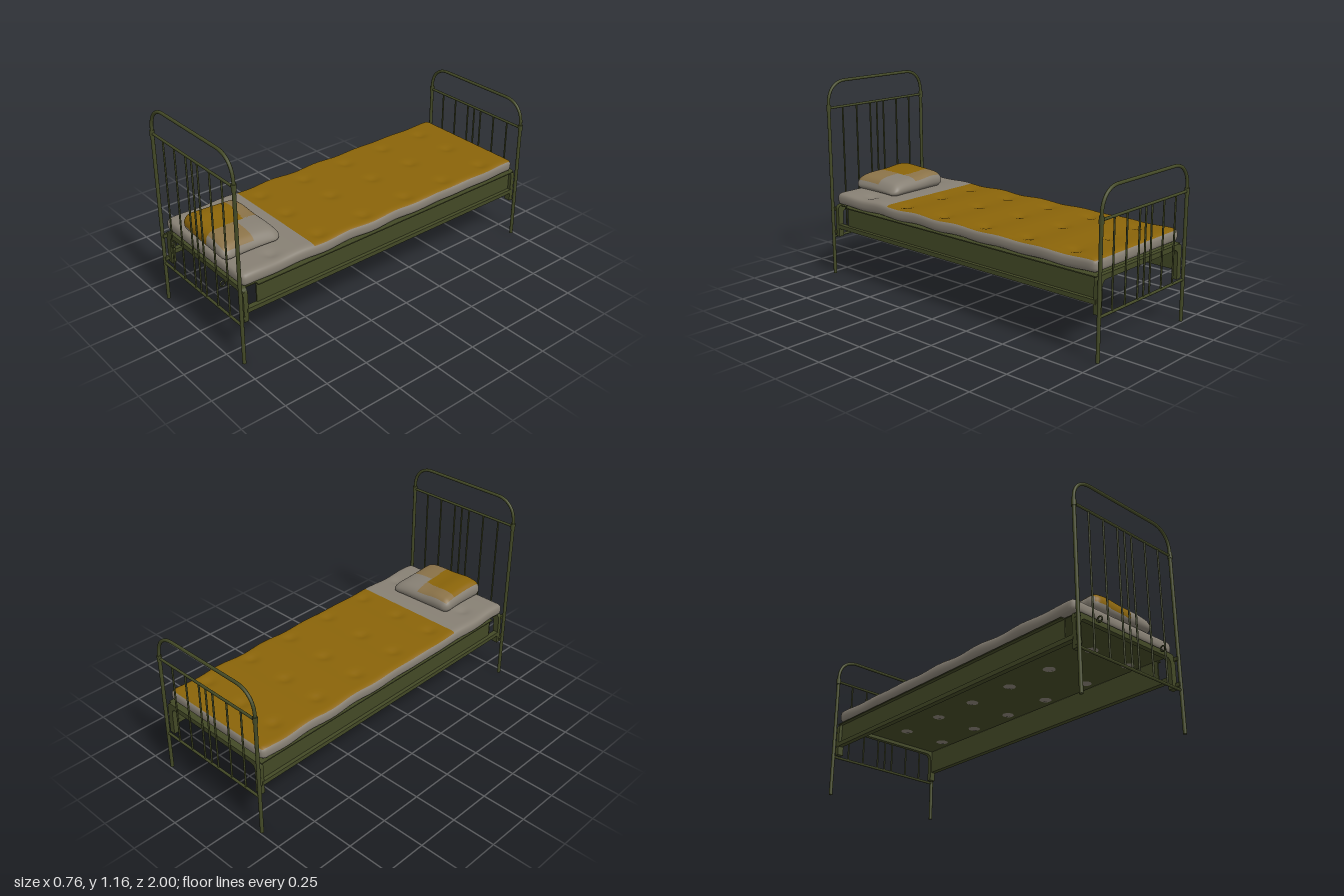
import * as THREE from 'three';
import { mergeVertices } from 'three/addons/utils/BufferGeometryUtils.js';

const material = (name, color) => new THREE.MeshStandardMaterial({ name, color });

export function createModel() {
  const green = material('olive green metal', 0x434926);
  const yellow = material('mustard cloth', 0x8a6409);
  const grey = material('warm grey cloth', 0x878074);
  const tan = material('tan cloth', 0x8a7248);
  const bed = new THREE.Group();
  bed.name = 'bed';

  const add = (parent, name, geometry, mat, x = 0, y = 0, z = 0) => {
    const mesh = new THREE.Mesh(geometry, mat);
    mesh.name = name;
    mesh.position.set(x, y, z);
    parent.add(mesh);
    return mesh;
  };
  const rod = (parent, name, r, length, x, y, sides = 12) =>
    add(parent, name, new THREE.CylinderGeometry(r, r, length, sides), green, x, y, 0);

  // Bed end: two posts, an arched top tube, two cross rails and seven bars
  function bedEnd(name, z, railY, topY) {
    const end = new THREE.Group();
    end.name = name;
    end.position.z = z;
    const X = 0.365, low = 0.23, start = railY + 0.02;
    for (const s of [-1, 1]) {
      rod(end, 'post', 0.01, start, s * X, start / 2, 16);
      rod(end, 'collar', 0.013, 0.035, s * X, railY, 16);
    }
    const v = (x, y) => new THREE.Vector3(x, y, 0);
    const path = new THREE.CurvePath();
    const corner = 0.125, k = 0.055;
    path.add(new THREE.CubicBezierCurve3(v(-X, start), v(-X, topY - k * 0.8), v(-X + k, topY), v(-X + corner, topY)));
    path.add(new THREE.LineCurve3(v(-X + corner, topY), v(X - corner, topY)));
    path.add(new THREE.CubicBezierCurve3(v(X - corner, topY), v(X - k, topY), v(X, topY - k * 0.8), v(X, start)));
    add(end, 'arch', new THREE.TubeGeometry(path, 80, 0.009, 12), green);
    for (const y of [low, railY]) rod(end, 'crossRail', 0.0075, 2 * X, 0, y).rotation.z = Math.PI / 2;
    for (const x of [-0.262, -0.157, -0.052, 0, 0.052, 0.157, 0.262])
      rod(end, 'bar', 0.005, railY - low, x, (railY + low) / 2, 8);
    bed.add(end);
    return end;
  }
  const head = bedEnd('headboard', 0.97, 1.0, 1.152);
  bedEnd('footboard', -0.986, 0.705, 0.856);

  // Small hooks on the head end
  for (const x of [-0.23, 0.23])
    add(head, 'hook', new THREE.TorusGeometry(0.015, 0.004, 8, 20), green, x, 0.412, 0.011).rotation.y = Math.PI / 2;

  // Arched end frames with rounded corners
  const arch = new THREE.Shape();
  arch.moveTo(-0.36, 0.235);
  arch.lineTo(-0.36, 0.395);
  arch.quadraticCurveTo(-0.36, 0.428, -0.325, 0.428);
  arch.lineTo(0.325, 0.428);
  arch.quadraticCurveTo(0.36, 0.428, 0.36, 0.395);
  arch.lineTo(0.36, 0.235);
  arch.lineTo(0.325, 0.235);
  arch.lineTo(0.325, 0.365);
  arch.quadraticCurveTo(0.325, 0.4, 0.29, 0.4);
  arch.lineTo(-0.29, 0.4);
  arch.quadraticCurveTo(-0.325, 0.4, -0.325, 0.365);
  arch.lineTo(-0.325, 0.235);
  const archGeometry = new THREE.ExtrudeGeometry(arch, { depth: 0.026, bevelEnabled: false, curveSegments: 8 });
  add(bed, 'headEndFrame', archGeometry, green, 0, 0, 0.924);
  add(bed, 'footEndFrame', archGeometry, green, 0, 0, -0.974);

  // Channel side rails, with the lower lip running on to the head end
  const box = (name, w, h, d, x, y, z) => add(bed, name, new THREE.BoxGeometry(w, h, d), green, x, y, z);
  for (const s of [-1, 1]) {
    box('sideRail', 0.008, 0.138, 1.82, s * 0.337, 0.355, -0.05);
    box('sideRailTopLip', 0.03, 0.006, 1.82, s * 0.347, 0.422, -0.05);
    box('sideRailLowerLip', 0.03, 0.024, 1.89, s * 0.347, 0.297, -0.015);
    for (const y of [0.26, 0.4]) box('postBracket', 0.014, 0.02, 0.03, s * 0.355, y, 0.958);
  }
  box('bedBase', 0.68, 0.005, 1.88, 0, 0.422, -0.015);

  // Rounded, segmented box, reshaped by a rule; each triangle takes a colour by its place
  function cushion(name, size, segments, r, centre, reshape, colourAt, mats) {
    const [w, h, d] = size;
    let g = new THREE.BoxGeometry(w, h, d, ...segments);
    g.deleteAttribute('normal');
    g.deleteAttribute('uv');
    const faces = Array.from({ length: 6 }, (_, i) => g.groups[i]);
    const p = g.attributes.position, v = new THREE.Vector3(), inner = new THREE.Vector3();
    const limit = new THREE.Vector3(w / 2 - r, h / 2 - r, d / 2 - r), least = limit.clone().negate();
    for (let i = 0; i < p.count; i++) {
      v.fromBufferAttribute(p, i);
      inner.copy(v).clamp(least, limit);
      v.sub(inner);
      if (v.lengthSq() > 0) v.setLength(r);
      v.add(inner).add(centre);
      reshape(v);
      p.setXYZ(i, v.x, v.y, v.z);
    }
    g = mergeVertices(g, 1e-5);
    g.computeVertexNormals();
    const q = g.attributes.position, index = g.index.array, lists = mats.map(() => []);
    faces.forEach((f, side) => {
      for (let i = f.start; i < f.start + f.count; i += 3) {
        const tri = [index[i], index[i + 1], index[i + 2]];
        v.set(0, 0, 0);
        for (const t of tri) v.add(inner.fromBufferAttribute(q, t));
        lists[colourAt(v.divideScalar(3), side)].push(...tri);
      }
    });
    g.setIndex(lists.flat());
    g.clearGroups();
    let start = 0;
    lists.forEach((l, m) => { g.addGroup(start, l.length, m); start += l.length; });
    return add(bed, name, g, mats);
  }

  // Tufted mattress: mustard cover on top, grey at the head and sides
  const tufts = [];
  for (const z of [-0.77, -0.47, -0.18, 0.12, 0.42, 0.72]) for (const x of [-0.24, 0, 0.27]) tufts.push([x, z]);
  cushion('mattress', [0.722, 0.074, 1.9], [44, 8, 95], 0.03, new THREE.Vector3(-0.005, 0.464, -0.005), p => {
    let dip = 0.003 * Math.cos((p.z - 0.12) * Math.PI * 2 / 0.298);
    for (const [x, z] of tufts) dip += 0.013 * Math.exp(-((p.x - x) ** 2 + (p.z - z) ** 2) / 0.0011);
    p.x += 0.003 * Math.sin(p.z * 17);
    p.y -= dip;
  }, (c, side) => (side === 2 && c.z < 0.508 ? 1 : 0), [grey, yellow]);

  // Patchwork pillow, fuller on its right and toward the head
  cushion('pillow', [0.42, 0.1, 0.34], [56, 12, 44], 0.047, new THREE.Vector3(0, 0.545, 0.775), p => {
    const u = p.x / 0.21, w = (p.z - 0.775) / 0.17;
    const rise = (p.y - 0.495) / 0.1;
    const bump = 0.012 * Math.exp(-((u + 0.55) ** 2) / 0.12) - 0.012 * Math.max(0, u) ** 2 - 0.03 * Math.max(0, u) ** 6;
    p.y += rise * (bump - 0.005 + 0.009 * w - 0.012 * w ** 4);
    p.x *= 1 - 0.04 * (1 - w * w);
    p.z += 0.006 * u * w;
  }, (c, side) => {
    const left = c.x < 0.03 + 0.06 * (c.z - 0.775);
    if (side === 2) {
      if (left) return c.z > 0.71 + 0.04 * Math.sin(c.x * 12) * 0.3 ? 1 : 2;
      return c.z > 0.76 ? 2 : 0;
    }
    return side === 4 && left && c.y > 0.525 - c.x * 0.08 ? 1 : 0;
  }, [grey, yellow, tan]);

  return bed;
}
